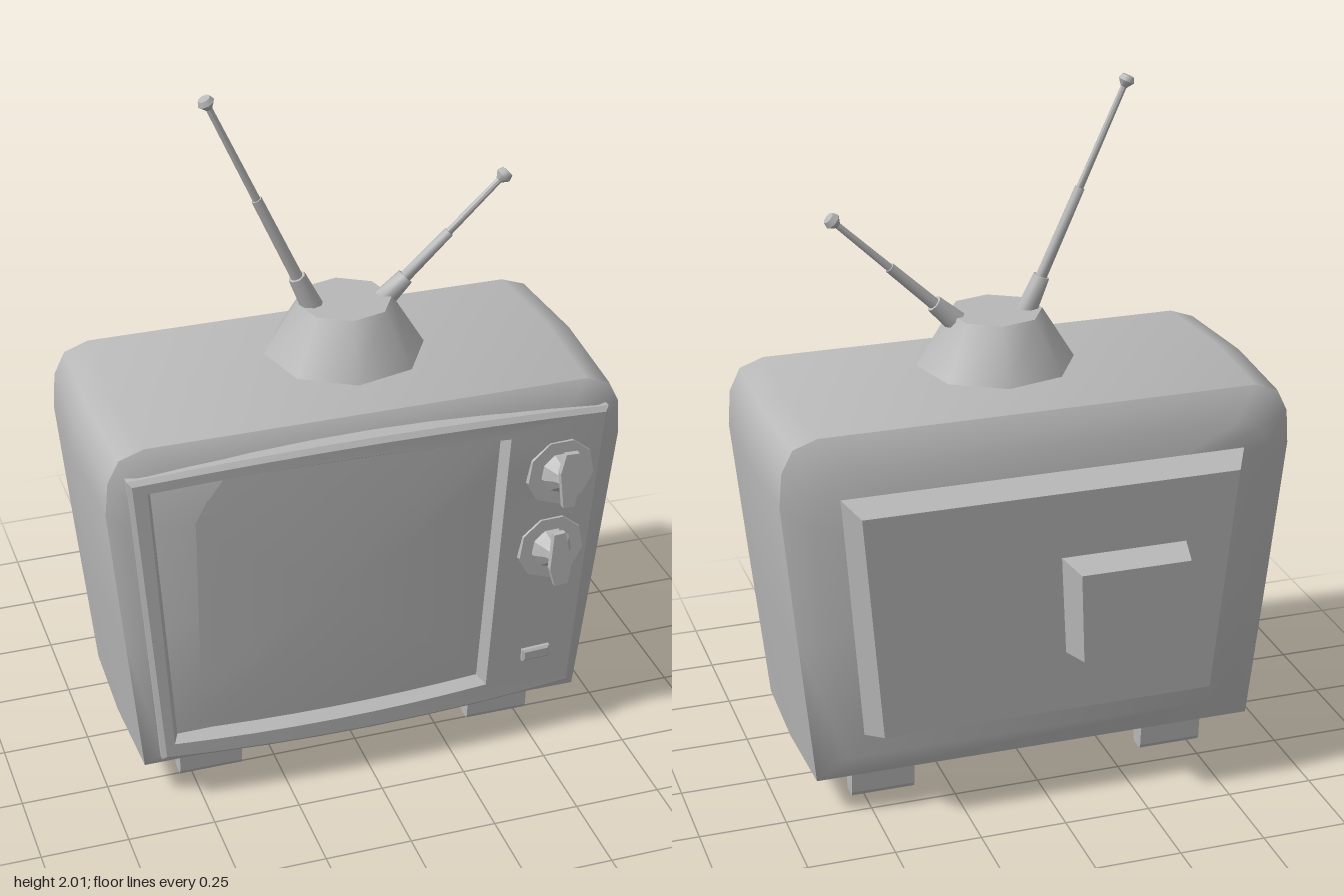
import * as THREE from 'three';
import { toCreasedNormals } from 'three/addons/utils/BufferGeometryUtils.js';

const plastic = new THREE.MeshStandardMaterial({ color: 0xb8b8b8 });
plastic.name = 'grey plastic';

const lerp = THREE.MathUtils.lerp;
// z leaning linearly between two heights
const lean = (y0, z0, y1, z1) => (x, y) => lerp(z0, z1, (y - y0) / (y1 - y0));

function add(parent, geometry, name, crease = 0.6) {
  const mesh = new THREE.Mesh(toCreasedNormals(geometry, crease), plastic);
  mesh.name = name;
  parent.add(mesh);
  return mesh;
}

// Skin over rings of equal length; rings run anticlockwise seen from the front
function loft(rings, capFirst = true, capLast = true) {
  const pos = [];
  const tri = (...pts) => pts.forEach((p) => pos.push(...p));
  const n = rings[0].length;
  const mid = (r) => [0, 1, 2].map((k) => r.reduce((s, p) => s + p[k], 0) / n);
  for (let i = 0; i < n; i++) {
    const j = (i + 1) % n;
    for (let k = 0; k + 1 < rings.length; k++) {
      const a = rings[k], b = rings[k + 1];
      tri(a[i], b[i], a[j]);
      tri(a[j], b[i], b[j]);
    }
    const last = rings[rings.length - 1];
    if (capFirst) tri(mid(rings[0]), rings[0][i], rings[0][j]);
    if (capLast) tri(mid(last), last[j], last[i]);
  }
  const g = new THREE.BufferGeometry();
  g.setAttribute('position', new THREE.Float32BufferAttribute(pos, 3));
  return g;
}

// Four-sided ring with n steps a side; top and bottom bow outwards
function quadRing([bl, br, tr, tl], zAt, n = 1, bow = 0) {
  const corners = [bl, br, tr, tl], out = [];
  corners.forEach((c, s) => {
    const d = corners[(s + 1) % 4];
    for (let i = 0; i < n; i++) {
      const t = i / n, lift = [-0.4, 0, 1, 0][s] * bow * 4 * t * (1 - t);
      const x = lerp(c[0], d[0], t), y = lerp(c[1], d[1], t) + lift;
      out.push([x, y, zAt(x, y)]);
    }
  });
  return out;
}

// Cabinet cross-section, narrower at the bottom with rounded top corners
function cabinetRing(inset, bulge, zAt) {
  const half = [[0.655, 0.11], [0.7, 0.56], [0.74, 0.98], [0.732, 1.08], [0.7, 1.145], [0.63, 1.17]];
  const shape = half.map(([x, y]) => {
    const sy = lerp(0.11 + inset, 1.17 - inset + bulge * 0.5, (y - 0.11) / 1.06);
    return [x - inset * 0.9 + bulge * (y > 0.2 ? 1 : 0.6), sy];
  });
  const mirrored = shape.map(([x, y]) => [-x, y]).reverse();
  return [...shape, ...mirrored].map(([x, y]) => [x, y, zAt(x, y)]);
}

// Round rod between two points
function rod(parent, p, q, r0, r1, name) {
  const a = new THREE.Vector3(...p), b = new THREE.Vector3(...q), dir = b.clone().sub(a);
  const g = new THREE.CylinderGeometry(r1, r0, dir.length(), 8);
  const mesh = add(parent, g, name, 0.9);
  mesh.position.copy(a).add(b).multiplyScalar(0.5);
  mesh.quaternion.setFromUnitVectors(new THREE.Vector3(0, 1, 0), dir.normalize());
}

// Telescopic aerial: sleeve, middle tube, thin tube, flared tip
function aerial(parent, base, tip, steps, name) {
  const g = new THREE.Group();
  g.name = name;
  const at = (t) => [lerp(base[0], tip[0], t), lerp(base[1], tip[1], t), 0.045];
  rod(g, at(0), at(steps[0]), 0.032, 0.025, 'aerialSleeve');
  rod(g, at(steps[0]), at(steps[1]), 0.017, 0.015, 'aerialMiddle');
  rod(g, at(steps[1]), at(steps[2]), 0.011, 0.009, 'aerialRod');
  rod(g, at(steps[2]), at(steps[3]), 0.01, 0.024, 'aerialTipFlare');
  rod(g, at(steps[3]), at(1), 0.024, 0.018, 'aerialTip');
  parent.add(g);
}

// Gently bulging front face of the bezel
const face = (x, y) => 0.375 + 0.04 * (y - 0.15) / 0.95 + 0.03 * (1 - (x / 0.7) ** 2);
const sunk = (d) => (x, y) => face(x, y) - d;

// Tuning knob: many-sided plate, conical dial, tapered grip
function knob(parent, x, y, radius, turn) {
  const g = new THREE.Group();
  g.name = 'knob';
  g.position.set(x, y, face(x, y));
  g.rotation.set(-0.04, 0.04, 0);
  const plate = add(g, new THREE.CylinderGeometry(radius * 0.94, radius, 0.024, 9), 'knobPlate', 0.3);
  plate.rotation.x = Math.PI / 2;
  const profile = [[0, 0.01], [0.062, 0.01], [0.058, 0.022], [0.036, 0.045], [0.028, 0.062], [0, 0.062]];
  const dial = add(g, new THREE.LatheGeometry(profile.map(([r, h]) => new THREE.Vector2(r, h)), 9), 'knobDial', 0.5);
  dial.rotation.x = Math.PI / 2;
  const s = new THREE.Shape([[-0.017, -0.078], [0.017, -0.078], [0.033, 0.03], [0.02, 0.088], [-0.02, 0.088], [-0.033, 0.03]]
    .map(([u, v]) => new THREE.Vector2(u, v)));
  const grip = add(g, new THREE.ExtrudeGeometry(s, { depth: 0.018, bevelEnabled: false }), 'knobGrip', 0.3);
  grip.position.z = 0.058;
  grip.rotation.z = turn;
  parent.add(g);
}

export function createModel() {
  const tv = new THREE.Group();
  tv.name = 'television';

  // Cabinet
  add(tv, loft([
    cabinetRing(0.05, 0, lean(0.11, 0.355, 1.17, 0.402)),
    cabinetRing(0, 0, lean(0.11, 0.325, 1.17, 0.367)),
    cabinetRing(0, 0.015, () => 0.04),
    cabinetRing(0, 0, lean(0.11, -0.24, 1.17, -0.275)),
    cabinetRing(0.085, 0, lean(0.2, -0.288, 1.09, -0.333)),
  ]), 'cabinet', 0.8);

  // Bezel with the sunken screen
  const outer = (i) => [[-0.615 + i, 0.155 + i], [0.62 - i, 0.16 + i], [0.685 - i, 1.095 - i], [-0.69 + i, 1.1 - i]];
  const hole = (i) => [[-0.58 + i, 0.21 + i], [0.35 - i, 0.22 + i], [0.386 - i, 1.055 - i], [-0.637 + i, 1.062 - i]];
  add(tv, loft([
    quadRing(hole(0), face, 8, 0.025),
    quadRing(outer(0.012), face, 8, 0.032),
    quadRing(outer(0), sunk(0.012), 8, 0.035),
    quadRing(outer(0), sunk(0.06), 8, 0.035),
  ], false, false), 'bezel');
  add(tv, loft([
    quadRing(hole(0.018), sunk(0.035), 8, 0.02),
    quadRing(hole(0), face, 8, 0.025),
  ], false, false), 'screenRim', 0.4);
  add(tv, loft([
    quadRing(hole(0.24), sunk(0.026), 8, 0.01),
    quadRing(hole(0.018), sunk(0.035), 8, 0.02),
  ], true, false), 'screen');

  // Controls
  knob(tv, 0.54, 0.92, 0.107, -0.05);
  knob(tv, 0.525, 0.67, 0.105, Math.PI + 0.05);
  const button = (w, h, z) => quadRing([[0.5 - w, 0.302 - h], [0.5 + w, 0.302 - h], [0.5 + w, 0.302 + h], [0.5 - w, 0.302 + h]], sunk(-z));
  add(tv, loft([button(0.036, 0.013, 0.014), button(0.043, 0.02, 0.008), button(0.043, 0.02, -0.01)]), 'powerButton', 0.3);

  // Rear cover and its square housing
  add(tv, loft([
    quadRing([[-0.525, 0.262], [0.53, 0.262], [0.59, 1.01], [-0.585, 1.01]], lean(0.2, -0.28, 1.09, -0.325)),
    quadRing([[-0.48, 0.292], [0.49, 0.292], [0.55, 0.98], [-0.535, 0.98]], lean(0.29, -0.375, 0.98, -0.414)),
  ]), 'rearCover', 0.3);
  add(tv, loft([
    quadRing([[-0.365, 0.478], [-0.035, 0.478], [-0.015, 0.782], [-0.385, 0.782]], lean(0.48, -0.375, 0.78, -0.395)),
    quadRing([[-0.345, 0.495], [-0.055, 0.495], [-0.04, 0.768], [-0.36, 0.768]], lean(0.49, -0.487, 0.77, -0.503)),
  ]), 'rearHousing', 0.3);

  // Feet: tapered blocks with chamfered lower edges
  const foot = new THREE.Shape([[-0.022, 0], [0.022, 0], [0.028, 0.012], [0.034, 0.085], [-0.034, 0.085], [-0.028, 0.012]]
    .map(([u, v]) => new THREE.Vector2(u, v)));
  for (const x of [-0.443, 0.443]) for (const z of [0.232, -0.143]) {
    const g = new THREE.ExtrudeGeometry(foot, { depth: 0.186, bevelEnabled: false }).translate(0, 0, -0.093);
    const mesh = add(tv, g, 'foot', 0.3);
    mesh.rotation.y = Math.PI / 2;
    mesh.position.set(x, 0, z);
  }

  // Aerial base and the two aerials
  const dome = add(tv, new THREE.CylinderGeometry(0.135, 0.227, 0.15, 8, 1, false, -0.14), 'aerialBase', 0.85);
  dome.position.set(0.03, 1.28, 0.048);
  aerial(tv, [-0.055, 1.33], [-0.357, 2.0], [0.17, 0.54, 0.955, 0.98], 'rightAerial');
  aerial(tv, [0.145, 1.335], [0.505, 1.675], [0.18, 0.53, 0.93, 0.965], 'leftAerial');

  return tv;
}
